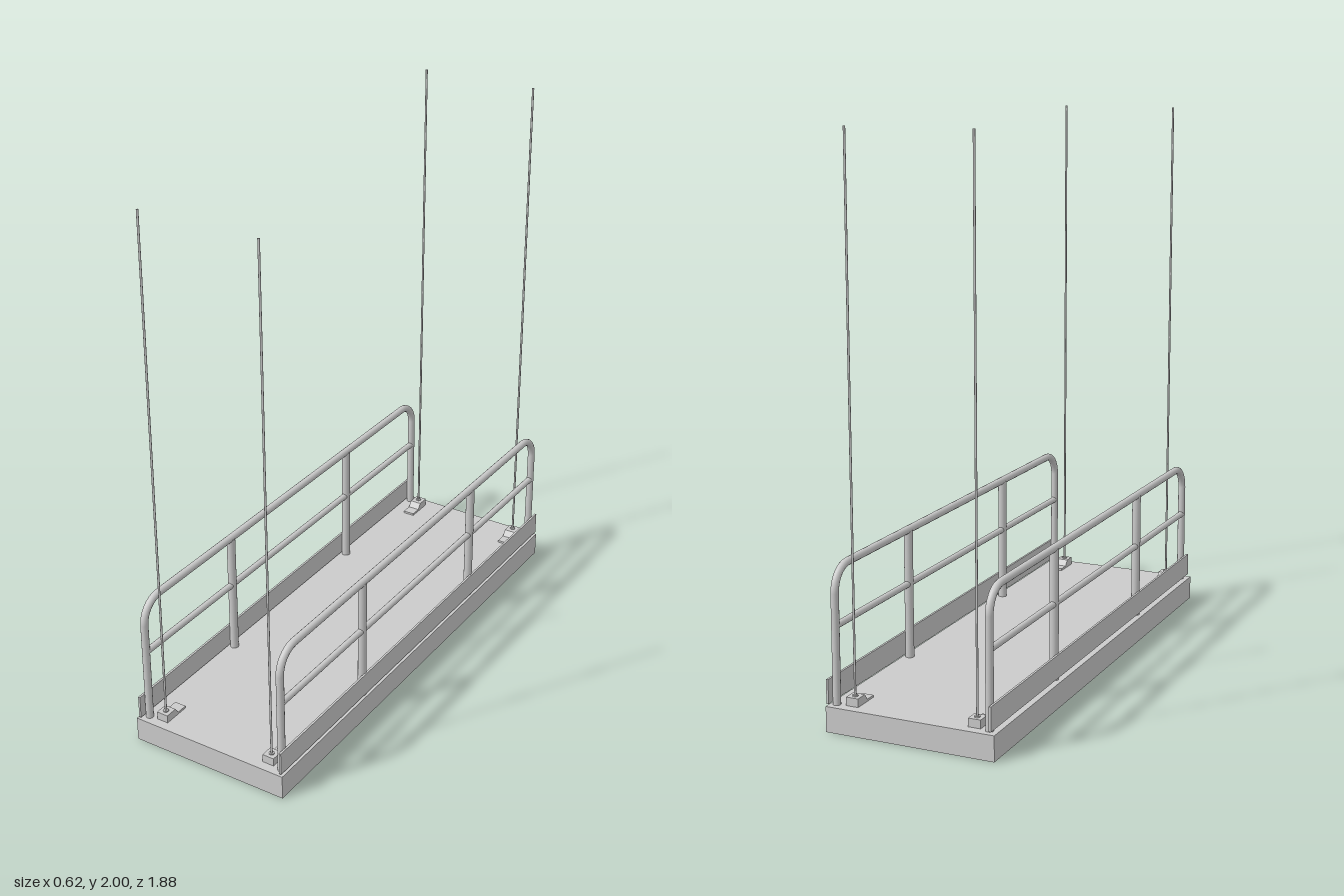
import * as THREE from 'three';

const grey = new THREE.MeshStandardMaterial({ color: 0xcccccc, side: THREE.DoubleSide });

function add(parent, name, geometry, x = 0, y = 0, z = 0) {
  const mesh = new THREE.Mesh(geometry, grey);
  mesh.name = name;
  mesh.position.set(x, y, z);
  parent.add(mesh);
  return mesh;
}

const box = (w, h, d) => new THREE.BoxGeometry(w, h, d);

// Vertical round bar standing between two heights
function upright(parent, name, r, y0, y1, x, z) {
  add(parent, name, new THREE.CylinderGeometry(r, r, y1 - y0, 16), x, (y0 + y1) / 2, z);
}

// Hooped handrail: two end posts joined by a top rail with rounded bends
function hoopGeometry() {
  const zEnd = 0.906, top = 0.562, bend = 0.085, foot = 0.09;
  const v = (y, z) => new THREE.Vector3(0, y, z);
  const path = new THREE.CurvePath();
  const points = [];
  points.push(v(foot, zEnd), v(top - bend, zEnd));
  for (let i = 1; i <= 10; i++) {
    const a = (i / 10) * Math.PI / 2;
    points.push(v(top - bend + bend * Math.sin(a), zEnd - bend + bend * Math.cos(a)));
  }
  const all = points.concat(points.slice().reverse().map((p) => v(p.y, -p.z)));
  for (let i = 0; i < all.length - 1; i++) path.add(new THREE.LineCurve3(all[i], all[i + 1]));
  return new THREE.TubeGeometry(path, 160, 0.014, 14, false);
}

// Bent anchor plate: flat foot rising to a raised cable seat
function anchorGeometry() {
  const s = new THREE.Shape();
  [[0.80, 0], [0.80, 0.008], [0.842, 0.008], [0.858, 0.03], [0.905, 0.03], [0.905, 0]]
    .forEach(([z, y], i) => (i ? s.lineTo(z, y) : s.moveTo(z, y)));
  s.closePath();
  const g = new THREE.ExtrudeGeometry(s, { depth: 0.045, bevelEnabled: false });
  g.translate(0, 0, -0.0225);
  g.rotateY(-Math.PI / 2);
  return g;
}

export function createModel() {
  const model = new THREE.Group();
  model.name = 'suspendedPlatform';

  // Deck: plate on a frame that is open underneath
  const deck = new THREE.Group();
  deck.name = 'deck';
  model.add(deck);
  const W = 0.62, L = 1.88, H = 0.09, t = 0.012;
  add(deck, 'deckPlate', box(W, t, L), 0, H - t / 2, 0);
  for (const s of [-1, 1]) {
    add(deck, 'sideBeam', box(t, H - t, L), s * (W - t) / 2, (H - t) / 2, 0);
    add(deck, 'endBeam', box(W - 2 * t, H - t, t), 0, (H - t) / 2, s * (L - t) / 2);
    add(deck, 'innerBeam', box(t, H - t, L - 2 * t), s * 0.115, (H - t) / 2, 0);
  }

  for (const s of [-1, 1]) {
    // Guard rail along each long side
    const rail = new THREE.Group();
    rail.name = s > 0 ? 'leftGuardRail' : 'rightGuardRail';
    rail.position.x = s * 0.282 + 0.004;
    model.add(rail);
    add(rail, 'handrail', hoopGeometry());
    add(rail, 'toeBoard', box(0.008, 0.085, L), s * 0.0165, 0.1425, 0);
    const mid = new THREE.CylinderGeometry(0.012, 0.012, 1.81, 14);
    mid.rotateX(Math.PI / 2);
    add(rail, 'midRail', mid, 0, 0.363, 0);
    for (const e of [-1, 1]) upright(rail, 'post', 0.016, H, 0.56, 0, e * 0.391);

    // Suspension cable and anchor at each corner
    for (const e of [-1, 1]) {
      const corner = new THREE.Group();
      corner.name = 'suspension';
      corner.position.x = s * 0.226 + 0.003;
      model.add(corner);
      const anchor = add(corner, 'anchor', anchorGeometry(), 0, H, 0);
      if (e < 0) anchor.rotation.y = Math.PI;
      upright(corner, 'cable', 0.004, 0.1, 2, 0, e * 0.883);
      upright(corner, 'cableSocket', 0.01, 0.118, 0.124, 0, e * 0.883);
    }
  }
  return model;
}
